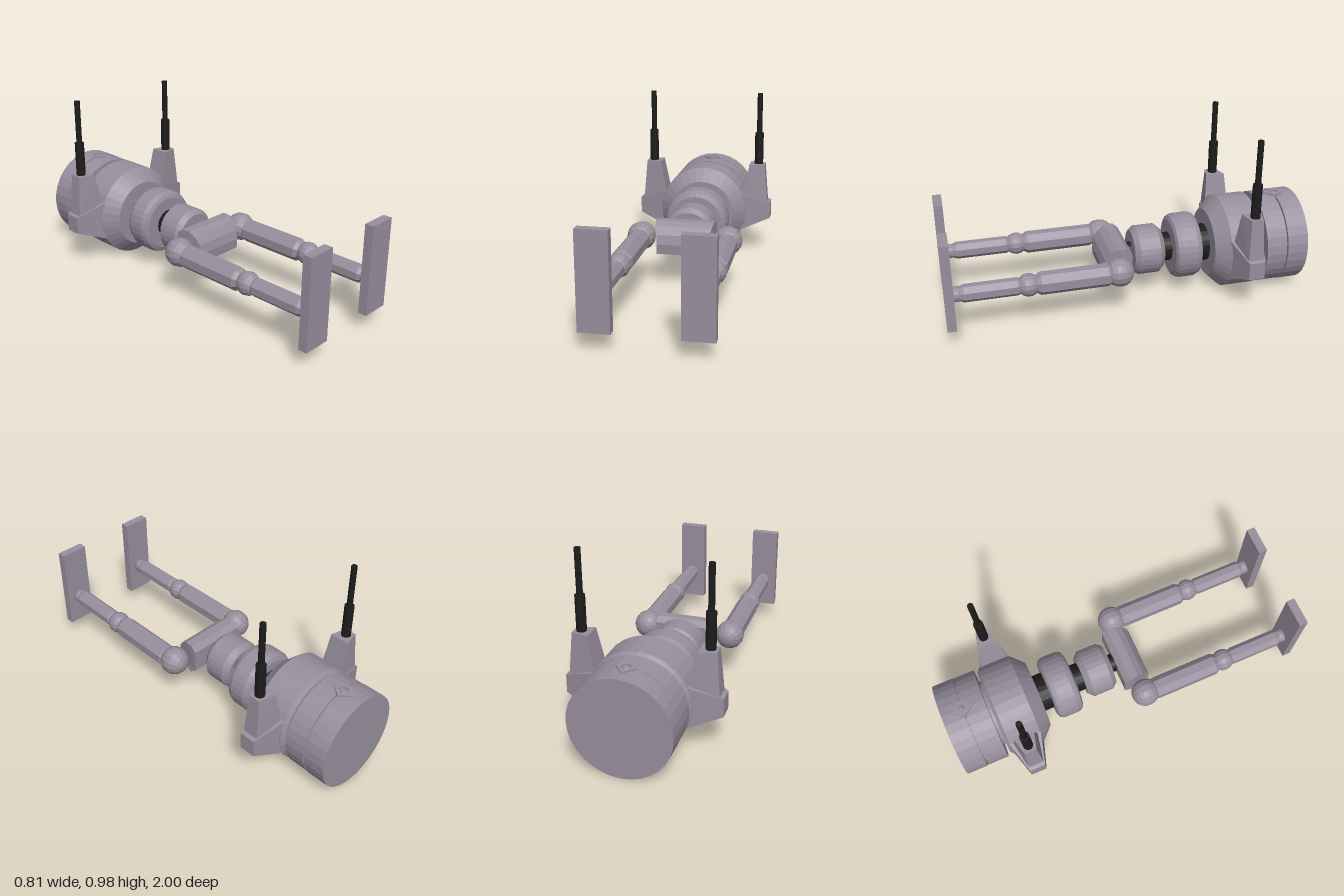
import * as THREE from 'three';
import { ConvexGeometry } from 'three/addons/geometries/ConvexGeometry.js';

const grey = new THREE.MeshStandardMaterial({ color: 0x978f9d });
grey.name = 'warm grey';
const black = new THREE.MeshStandardMaterial({ color: 0x1c1c1c });
black.name = 'black';

const AXIS_Y = 0.265;

// Faceted normals
function flat(geo) {
  const g = geo.index ? geo.toNonIndexed() : geo;
  g.computeVertexNormals();
  return g;
}

function add(parent, name, geo, mat, x = 0, y = 0, z = 0) {
  const mesh = new THREE.Mesh(flat(geo), mat);
  mesh.name = name;
  mesh.position.set(x, y, z);
  parent.add(mesh);
  return mesh;
}

// Solid of revolution along z from [radius, z] pairs, back to front
function turned(profile, sides) {
  const first = profile[0], last = profile[profile.length - 1];
  const pts = [[0, first[1]], ...profile, [0, last[1]]].map(([r, z]) => new THREE.Vector2(r, z));
  return new THREE.LatheGeometry(pts, sides).rotateX(Math.PI / 2);
}

function hull(points) {
  return new ConvexGeometry(points.map((p) => new THREE.Vector3(...p)));
}

export function createModel() {
  const model = new THREE.Group();
  model.name = 'machine';

  // Body along the z axis
  const bodyParts = [
    ['rearDrum', grey, 32, [[0.262, -1], [0.262, -0.882]]],
    ['drumGroove', grey, 32, [[0.245, -0.89], [0.245, -0.87]]],
    ['frontDrum', grey, 32, [[0.26, -0.874], [0.26, -0.76]]],
    ['neck', grey, 32, [[0.19, -0.77], [0.19, -0.73]]],
    ['mainBody', grey, 32, [[0.24, -0.742], [0.262, -0.725], [0.262, -0.55], [0.19, -0.478]]],
    ['rearJoint', black, 24, [[0.105, -0.49], [0.105, -0.4]]],
    ['largeRing', grey, 32, [[0.15, -0.42], [0.172, -0.41], [0.183, -0.385], [0.183, -0.3], [0.172, -0.275], [0.15, -0.265]]],
    ['middleJoint', black, 24, [[0.08, -0.28], [0.08, -0.2]]],
    ['smallRing', grey, 28, [[0.108, -0.215], [0.138, -0.185], [0.138, -0.07], [0.115, -0.043]]],
    ['frontJoint', black, 20, [[0.052, -0.06], [0.052, 0.03]]],
  ];
  for (const [name, mat, sides, profile] of bodyParts) {
    add(model, name, turned(profile, sides), mat, 0, AXIS_Y, 0);
  }

  // Diamond hatch on the rear drum
  const diamond = new THREE.Shape([[0, -0.062], [0.05, 0], [0, 0.062], [-0.05, 0]].map((p) => new THREE.Vector2(...p)));
  const hole = new THREE.Path();
  hole.absarc(0, 0, 0.026, 0, Math.PI * 2, true);
  diamond.holes.push(hole);
  const frame = new THREE.ExtrudeGeometry(diamond, { depth: 0.02, bevelEnabled: false, curveSegments: 6 });
  add(model, 'hatchFrame', frame.rotateX(-Math.PI / 2), grey, 0, 0.512, -0.885);
  add(model, 'hatchCap', new THREE.CylinderGeometry(0.012, 0.02, 0.012, 10), grey, 0, 0.524, -0.885);

  // Pelvis: rounded side profile, narrowing toward the front
  const profile = new THREE.Shape([
    [-0.01, 0.21], [0.03, 0.178], [0.142, 0.195], [0.147, 0.25], [0.135, 0.3],
    [0.105, 0.342], [0.07, 0.363], [0.02, 0.363], [-0.01, 0.335],
  ].map((p) => new THREE.Vector2(...p)));
  const pelvis = new THREE.ExtrudeGeometry(profile, { depth: 0.33, bevelEnabled: false });
  pelvis.translate(0, 0, -0.165).rotateY(-Math.PI / 2);
  const pos = pelvis.attributes.position;
  for (let i = 0; i < pos.count; i++) {
    const t = THREE.MathUtils.clamp(pos.getZ(i) / 0.147, 0, 1);
    pos.setX(i, pos.getX(i) * (1 - 0.15 * t * t));
  }
  add(model, 'pelvis', pelvis, grey);

  for (const [side, s] of [['left', 1], ['right', -1]]) {
    // Leg pointing forward, ending in an upright foot plate
    const leg = new THREE.Group();
    leg.name = `${side}Leg`;
    leg.position.set(s * 0.239, 0.27, 0);
    model.add(leg);
    const ball = (name, r, z, y = 0) =>
      add(leg, name, new THREE.SphereGeometry(r, 14, 10).rotateX(Math.PI / 2), grey, 0, y, z);
    const limb = (name, r, z0, z1) =>
      add(leg, name, turned([[r * 0.75, z0], [r, z0 + 0.025], [r, z1 - 0.025], [r * 0.75, z1]], 8).rotateZ(Math.PI / 8), grey);
    ball('hip', 0.079, 0.081, 0.005);
    limb('thigh', 0.062, 0.12, 0.53);
    ball('knee', 0.062, 0.567);
    limb('shin', 0.048, 0.6, 0.925);
    ball('ankle', 0.041, 0.935);
    add(leg, 'foot', new THREE.BoxGeometry(0.156, 0.487, 0.048), grey, 0, 0.0715, 0.976);

    // Side pod: block tapering outward from the body
    const pod = new THREE.Group();
    pod.name = `${side}Pod`;
    model.add(pod);
    const zc = -0.636;
    const block = [], pillar = [];
    for (const k of [-1, 1]) {
      block.push(
        [s * 0.2, 0.135, zc + k * 0.1], [s * 0.2, 0.385, zc + k * 0.1],
        [s * 0.405, 0.218, zc + k * 0.044], [s * 0.405, 0.315, zc + k * 0.044]);
      pillar.push(
        [s * 0.23, 0.32, zc + k * 0.075], [s * 0.385, 0.32, zc + k * 0.043],
        [s * 0.275, 0.55, zc + k * 0.055], [s * 0.366, 0.55, zc + k * 0.032]);
    }
    add(pod, 'podBlock', hull(block), grey);
    add(pod, 'antennaMount', hull(pillar), grey);

    // Two-stage antenna
    add(pod, 'antennaBase', new THREE.CylinderGeometry(0.026, 0.026, 0.22, 16), black, s * 0.327, 0.63, zc);
    add(pod, 'antennaRod', new THREE.CylinderGeometry(0.016, 0.016, 0.26, 16), black, s * 0.327, 0.85, zc);
  }

  return model;
}
